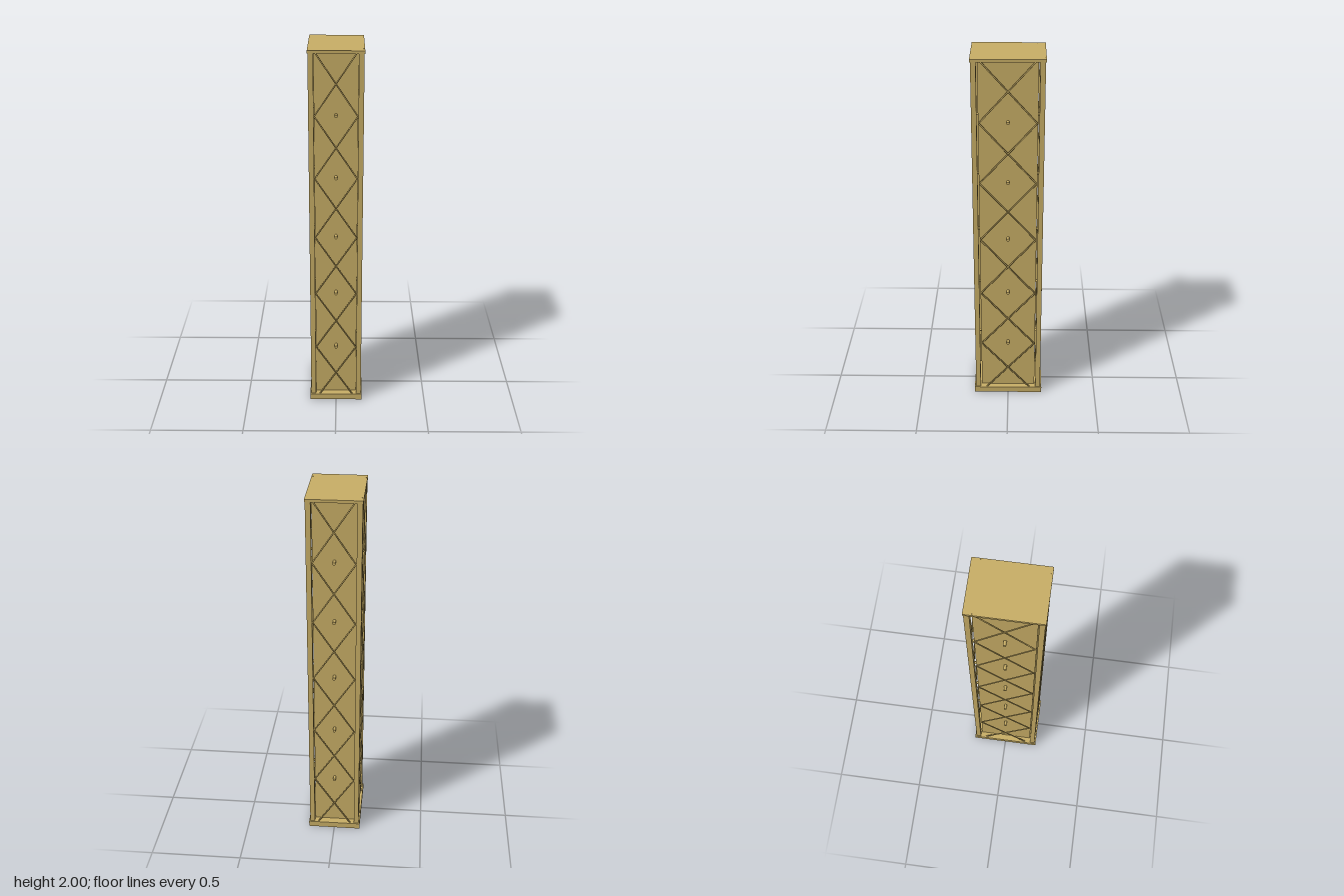
import * as THREE from 'three';

export function createModel() {
  const group = new THREE.Group();
  const brass = new THREE.MeshStandardMaterial({ color: 0xc8ae66 });
  brass.name = 'brass';

  const add = (name, geometry, x, y, z, parent = group) => {
    const mesh = new THREE.Mesh(geometry, brass);
    mesh.name = name;
    mesh.position.set(x, y, z);
    parent.add(mesh);
    return mesh;
  };

  // Base, lid and the recessed core between them
  add('base', new THREE.BoxGeometry(0.292, 0.034, 0.386), 0, 0.017, 0);
  add('lid', new THREE.BoxGeometry(0.286, 0.015, 0.378), 0, 1.991, 0);
  add('core', new THREE.BoxGeometry(0.224, 1.96, 0.304), 0, 1.01, 0);

  // Four square corner posts
  const postGeometry = new THREE.BoxGeometry(0.027, 1.96, 0.027);
  for (const sx of [-1, 1]) {
    for (const sz of [-1, 1]) add('cornerPost', postGeometry, sx * 0.1265, 1.01, sz * 0.1715);
  }

  // One lattice face in its own plane: crossed rods and a peg in each diamond
  const tiers = 6;
  const tierHeight = 1.994 / tiers;
  const pegGeometry = new THREE.CylinderGeometry(0.008, 0.008, 0.036, 10).rotateX(Math.PI / 2);

  function latticeFace(name, halfWidth, depth, angle) {
    const face = new THREE.Group();
    face.name = name;
    const length = Math.hypot(2 * halfWidth, tierHeight);
    const lean = Math.atan2(2 * halfWidth, tierHeight);
    const rodGeometry = new THREE.CylinderGeometry(0.004, 0.004, length, 6);
    for (let i = 0; i < tiers; i++) {
      const y = 0.003 + (i + 0.5) * tierHeight;
      for (const s of [-1, 1]) add('diagonalRod', rodGeometry, 0, y, depth, face).rotation.z = s * lean;
      if (i > 0) add('peg', pegGeometry, 0, y - tierHeight / 2, depth - 0.015, face);
    }
    face.rotation.y = angle;
    group.add(face);
  }

  latticeFace('frontLattice', 0.11, 0.182, 0);
  latticeFace('backLattice', 0.11, 0.182, Math.PI);
  latticeFace('leftLattice', 0.148, 0.136, Math.PI / 2);
  latticeFace('rightLattice', 0.148, 0.136, -Math.PI / 2);

  return group;
}
